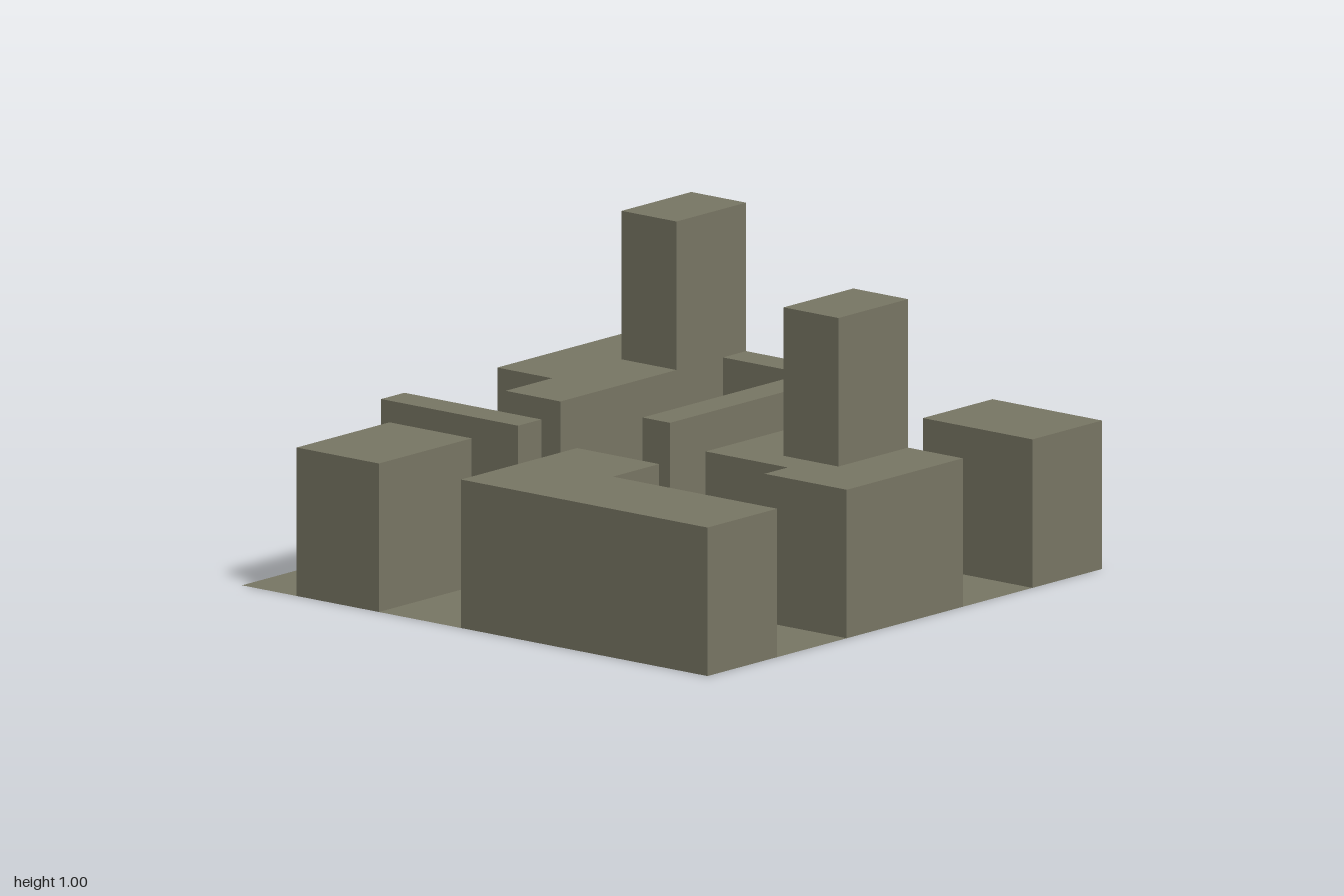
import * as THREE from 'three';

// Everything sits on a 17 x 17 cell plan; corners are odd multiples of 1/17.
const U = 1 / 17;
const LOW = 0.5, HIGH = 1;

const stone = new THREE.MeshStandardMaterial({ color: 0x787664, side: THREE.DoubleSide });
stone.name = 'warm grey stone';

// Flat horizontal face from plan corners [x, z].
function slab(name, plan, y) {
  const shape = new THREE.Shape(plan.map(([x, z]) => new THREE.Vector2(x * U, -z * U)));
  const geo = new THREE.ShapeGeometry(shape).rotateX(-Math.PI / 2).translate(0, y, 0);
  const mesh = new THREE.Mesh(geo, stone);
  mesh.name = name;
  return mesh;
}

// Ring of vertical walls around plan corners (clockwise seen from above).
function walls(name, plan, y0, y1) {
  const pos = [];
  plan.forEach(([ax, az], i) => {
    const [bx, bz] = plan[(i + 1) % plan.length];
    const quad = [[bx, y0, bz], [ax, y0, az], [ax, y1, az], [bx, y1, bz]];
    for (const k of [0, 1, 2, 0, 2, 3]) pos.push(quad[k][0] * U, quad[k][1], quad[k][2] * U);
  });
  const geo = new THREE.BufferGeometry();
  geo.setAttribute('position', new THREE.Float32BufferAttribute(pos, 3));
  geo.computeVertexNormals();
  const mesh = new THREE.Mesh(geo, stone);
  mesh.name = name;
  return mesh;
}

const rect = (x0, z0, x1, z1) => [[x0, z0], [x1, z0], [x1, z1], [x0, z1]];

// Hollow block, open below; roofs default to the whole footprint.
function building(name, plan, roofs = [plan], tower = null) {
  const group = new THREE.Group();
  group.name = name;
  group.add(walls('walls', plan, 0, LOW));
  roofs.forEach((r) => group.add(slab('roof', r, LOW)));
  if (tower) group.add(walls('towerWalls', tower, LOW, HIGH), slab('towerRoof', tower, HIGH));
  return group;
}

export function createModel() {
  const model = new THREE.Group();
  model.name = 'cityBlock';

  // Streets fill the ground between the footprints
  model.add(slab('streets', [
    [-17, -17], [-5, -17], [-5, -7], [-3, -7], [-3, -17], [5, -17], [5, -13], [1, -13],
    [1, -9], [15, -9], [15, -3], [1, -3], [1, -1], [17, -1], [17, 9], [11, 9],
    [11, 17], [5, 17], [5, 5], [-3, 5], [-3, 11], [-5, 11], [-5, 17], [-11, 17],
    [-11, 5], [-7, 5], [-7, -1], [-17, -1], [-17, -7], [-9, -7], [-9, -13], [-17, -13],
  ], 0));

  // Plain blocks
  model.add(building('backRightBlock', rect(-17, -13, -9, -7)));
  model.add(building('backThinBlock', rect(-5, -17, -3, -7)));
  model.add(building('frontCornerBlock', rect(11, 9, 17, 17)));
  model.add(building('frontRightLBlock',
    [[-17, -1], [-7, -1], [-7, 5], [-11, 5], [-11, 17], [-17, 17]]));

  // Front middle block with a tower flush with its side
  model.add(building('frontTowerBlock',
    [[-3, 5], [5, 5], [5, 17], [-5, 17], [-5, 11], [-3, 11]],
    [[[-3, 5], [5, 5], [5, 9], [-1, 9], [-1, 13], [5, 13], [5, 17], [-5, 17], [-5, 11], [-3, 11]]],
    rect(-1, 9, 5, 13)));

  // Back courtyard block: its tower splits the roof in two
  model.add(building('courtyardTowerBlock',
    [[5, -17], [17, -17], [17, -1], [1, -1], [1, -3], [15, -3], [15, -9], [1, -9], [1, -13], [5, -13]],
    [
      [[5, -17], [17, -17], [17, -13], [11, -13], [11, -9], [1, -9], [1, -13], [5, -13]],
      [[15, -9], [17, -9], [17, -1], [1, -1], [1, -3], [15, -3]],
    ],
    rect(11, -13, 17, -9)));

  return model;
}
